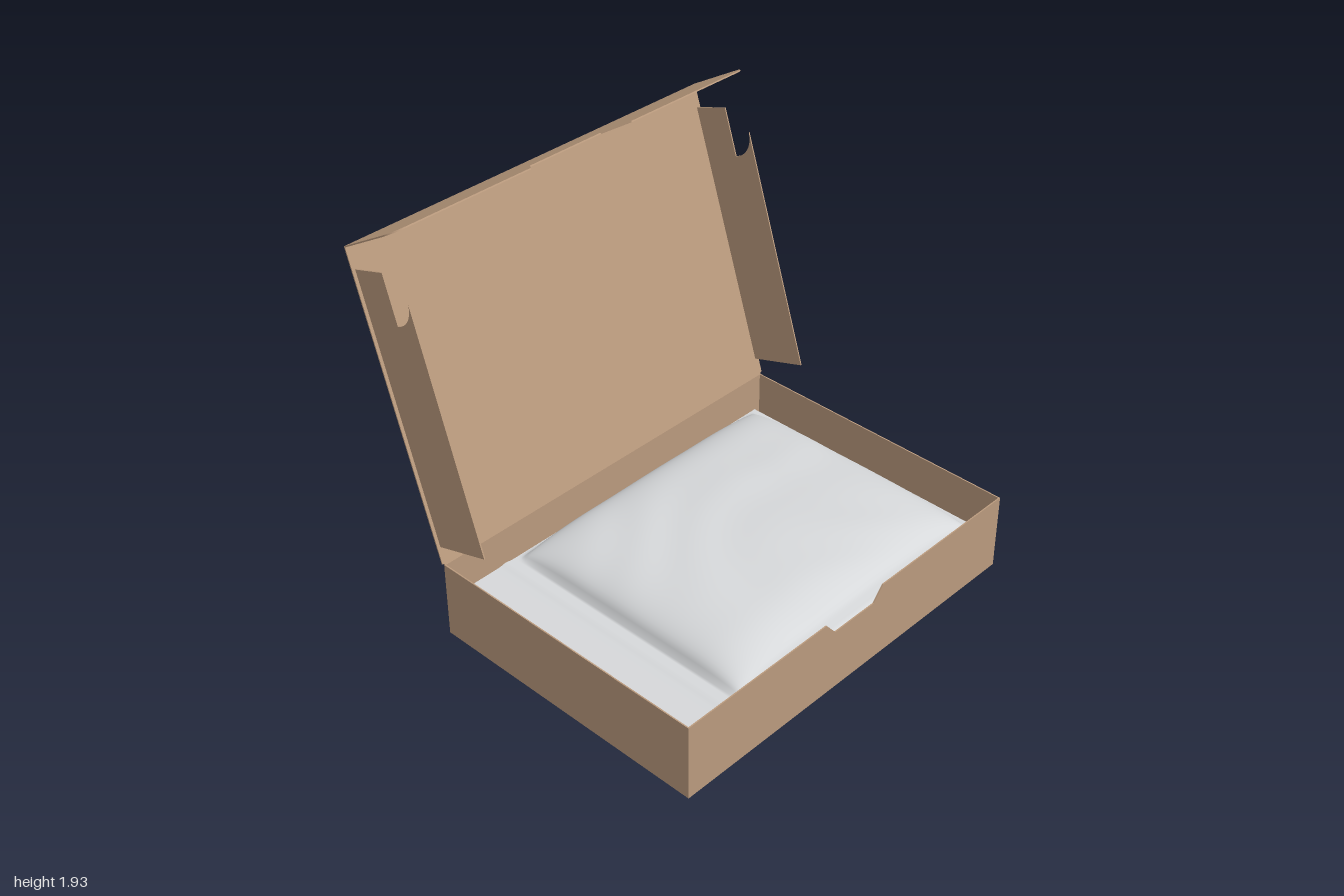
import * as THREE from 'three';

const T = 0.006; // board thickness

export function createModel() {
  const cardboard = new THREE.MeshStandardMaterial({ color: 0xbb9b7e });
  cardboard.name = 'cardboard';
  const film = new THREE.MeshStandardMaterial({ color: 0xd6d8da });
  film.name = 'pouch film';

  const add = (parent, name, geometry, material, x = 0, y = 0, z = 0) => {
    const mesh = new THREE.Mesh(geometry, material);
    mesh.name = name;
    mesh.position.set(x, y, z);
    parent.add(mesh);
    return mesh;
  };
  const group = (parent, name) => {
    const g = new THREE.Group();
    g.name = name;
    parent.add(g);
    return g;
  };
  // thin board cut from a shape, centred on its own plane
  const board = (shape, depth = T) =>
    new THREE.ExtrudeGeometry(shape, { depth, bevelEnabled: false, curveSegments: 12 })
      .translate(0, 0, -depth / 2);
  const polygon = (pts) => new THREE.Shape(pts.map(([x, y]) => new THREE.Vector2(x, y)));

  const model = new THREE.Group();
  model.name = 'mailerBox';

  // Tray: floor, back and side walls, front wall with a thumb notch
  const tray = group(model, 'tray');
  const W = 0.99, H = 0.378, Y0 = 0.004, ZB = -0.485, ZF = 0.93;
  const depth = ZF - ZB, zMid = (ZF + ZB) / 2, yMid = (H + Y0) / 2;
  add(tray, 'floor', new THREE.BoxGeometry(2 * W, T, depth), cardboard, 0, Y0 + T / 2, zMid);
  add(tray, 'backWall', new THREE.BoxGeometry(2 * W, H - Y0, T), cardboard, 0, yMid, ZB + T / 2);
  for (const s of [-1, 1]) {
    add(tray, s > 0 ? 'leftWall' : 'rightWall',
      new THREE.BoxGeometry(T, H - Y0, depth), cardboard, s * (W - T / 2), yMid, zMid);
  }
  add(tray, 'frontWall', board(polygon([
    [-W, Y0], [W, Y0], [W, H], [0.18, H], [0.123, 0.31], [-0.123, 0.31], [-0.18, H], [-W, H],
  ])), cardboard, 0, 0, ZF - T / 2);

  // Lid: leans back from the hinge; local y runs up the panel, local z points inward
  const lid = group(model, 'lid');
  lid.position.set(0, 0.385, ZB);
  lid.rotation.x = -0.313;
  const L = 1.43;
  add(lid, 'lidPanel', new THREE.BoxGeometry(2, L, T), cardboard, 0, L / 2, 0);
  add(lid, 'hinge', new THREE.BoxGeometry(2 * W, 0.012, T), cardboard, 0, -0.003, 0);

  // Side flaps with a rounded notch near the top
  const flap = new THREE.Shape();
  flap.moveTo(0, 0.077);
  flap.lineTo(0.3, 0.077);
  flap.lineTo(0.3, 1.217);
  flap.absarc(0.183, 1.217, 0.117, 0, -Math.PI / 2, true);
  flap.lineTo(0.183, 1.328);
  flap.lineTo(0, 1.328);
  flap.closePath();
  const flapGeometry = board(flap).rotateY(-Math.PI / 2);
  for (const s of [-1, 1]) {
    add(lid, s > 0 ? 'leftLidFlap' : 'rightLidFlap', flapGeometry, cardboard, s * 0.982, 0, 0);
  }

  // Tuck flap with rounded corners and a central cut-out
  const F = 0.365, R = 0.075;
  const tuck = new THREE.Shape();
  tuck.moveTo(-1, 0);
  tuck.lineTo(1, 0);
  tuck.lineTo(1, F - R);
  tuck.absarc(1 - R, F - R, R, 0, Math.PI / 2, false);
  tuck.lineTo(0.285, F);
  tuck.lineTo(0.2, F - 0.114);
  tuck.lineTo(-0.2, F - 0.114);
  tuck.lineTo(-0.285, F);
  tuck.lineTo(-1 + R, F);
  tuck.absarc(-1 + R, F - R, R, Math.PI / 2, Math.PI, false);
  tuck.closePath();
  add(lid, 'tuckFlap', board(tuck), cardboard, 0, L, 0).rotation.x = 1.353;

  // Pouch: flat sealed rim with a padded, slightly wrinkled body
  const pouch = group(model, 'pouch');
  const RIM = 0.215;
  const bulge = (x, z) => {
    const s = (x - 0.14) / 0.75, t = (z - 0.21) / 0.64;
    if (Math.abs(s) >= 1 || Math.abs(t) >= 1) return 0;
    return Math.pow((1 - s ** 4) * (1 - t ** 4), 0.45);
  };
  const wrinkle = (x, z) =>
    0.004 * Math.sin(7 * x + 3 * Math.sin(4 * z)) * Math.sin(9 * z + 2 * Math.sin(5 * x + 1));
  const sheet = (side) => {
    const g = new THREE.PlaneGeometry(1.855, 1.345, 130, 96);
    g.rotateX(-side * Math.PI / 2).translate(-0.0025, 0, 0.2175);
    const p = g.attributes.position;
    for (let i = 0; i < p.count; i++) {
      const x = p.getX(i), z = p.getZ(i), b = bulge(x, z);
      // closing strip beside the padded body
      const strip = 0.006 * Math.exp(-(((x + 0.68) / 0.022) ** 2));
      const height = side > 0 ? 0.145 : 0.198;
      p.setY(i, RIM + side * (0.002 + b * (height + wrinkle(x, z)) + strip));
    }
    g.computeVertexNormals();
    return g;
  };
  add(pouch, 'pouchTop', sheet(1), film);
  add(pouch, 'pouchBottom', sheet(-1), film);

  // Small patch of the pouch showing under the floor
  const outline = [
    [0.34, 0.53], [0.28, 0.57], [0.2, 0.555], [0.1, 0.515], [0, 0.525], [-0.11, 0.53],
    [-0.18, 0.49], [-0.13, 0.445], [-0.04, 0.45], [0.06, 0.465], [0.16, 0.455], [0.27, 0.475],
  ].map(([x, z]) => new THREE.Vector3(x, z, 0));
  const patch = new THREE.Shape(new THREE.CatmullRomCurve3(outline, true).getPoints(48)
    .slice(0, -1).map((p) => new THREE.Vector2(p.x, p.y)));
  add(pouch, 'undersidePatch', board(patch, 0.004).rotateX(Math.PI / 2), film, 0, 0.002, 0);

  return model;
}
